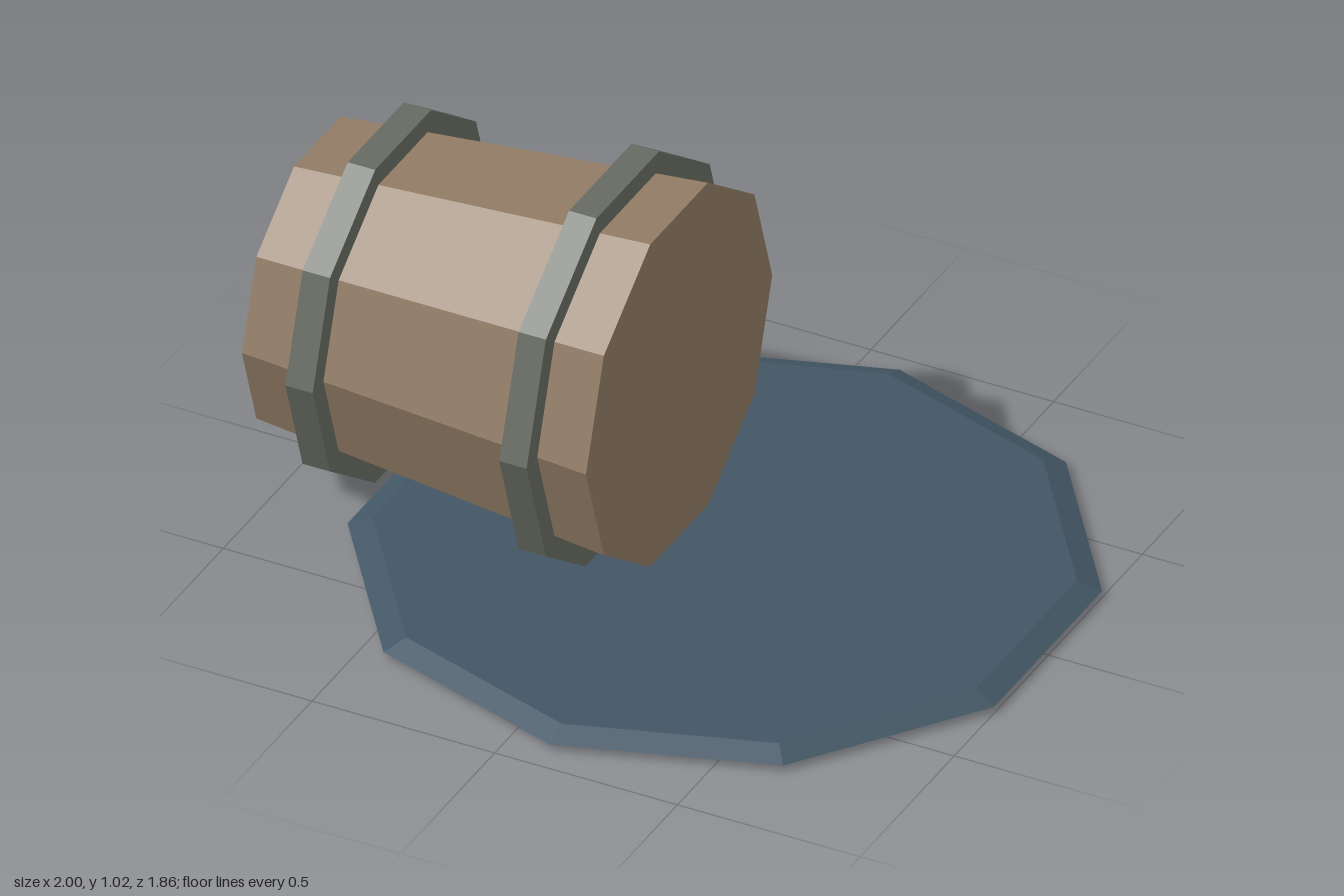
import * as THREE from 'three';

const SIDES = 10;

function flatMaterial(name, color) {
  const m = new THREE.MeshStandardMaterial({ color, flatShading: true });
  m.name = name;
  return m;
}

export function createModel() {
  const wood = flatMaterial('wood', 0x907b64);
  const iron = flatMaterial('iron', 0x676a62);
  const water = flatMaterial('water', 0x425664);

  const model = new THREE.Group();
  model.name = 'barrelAndPuddle';

  // Ten-sided frustum, solid with end caps
  const frustum = (name, rTop, rBottom, height, material, parent) => {
    const mesh = new THREE.Mesh(new THREE.CylinderGeometry(rTop, rBottom, height, SIDES), material);
    mesh.name = name;
    parent.add(mesh);
    return mesh;
  };

  // Barrel lying on its side, narrow end towards -x
  const barrel = new THREE.Group();
  barrel.name = 'barrel';
  barrel.position.set(-0.505, 0.514, 0);
  barrel.rotation.z = Math.PI / 2;
  model.add(barrel);
  frustum('barrelBody', 0.401, 0.495, 0.99, wood, barrel);

  // Hoops: [name, x position, radius]
  for (const [name, x, r] of [['narrowHoop', -0.803, 0.48], ['wideHoop', -0.188, 0.538]]) {
    frustum(name, r, r, 0.075, iron, barrel).position.y = -0.505 - x;
  }

  // Thin puddle with a bevelled rim
  frustum('puddle', 0.868, 0.93, 0.025, water, model).position.set(0.115, 0.0325, 0);

  return model;
}
